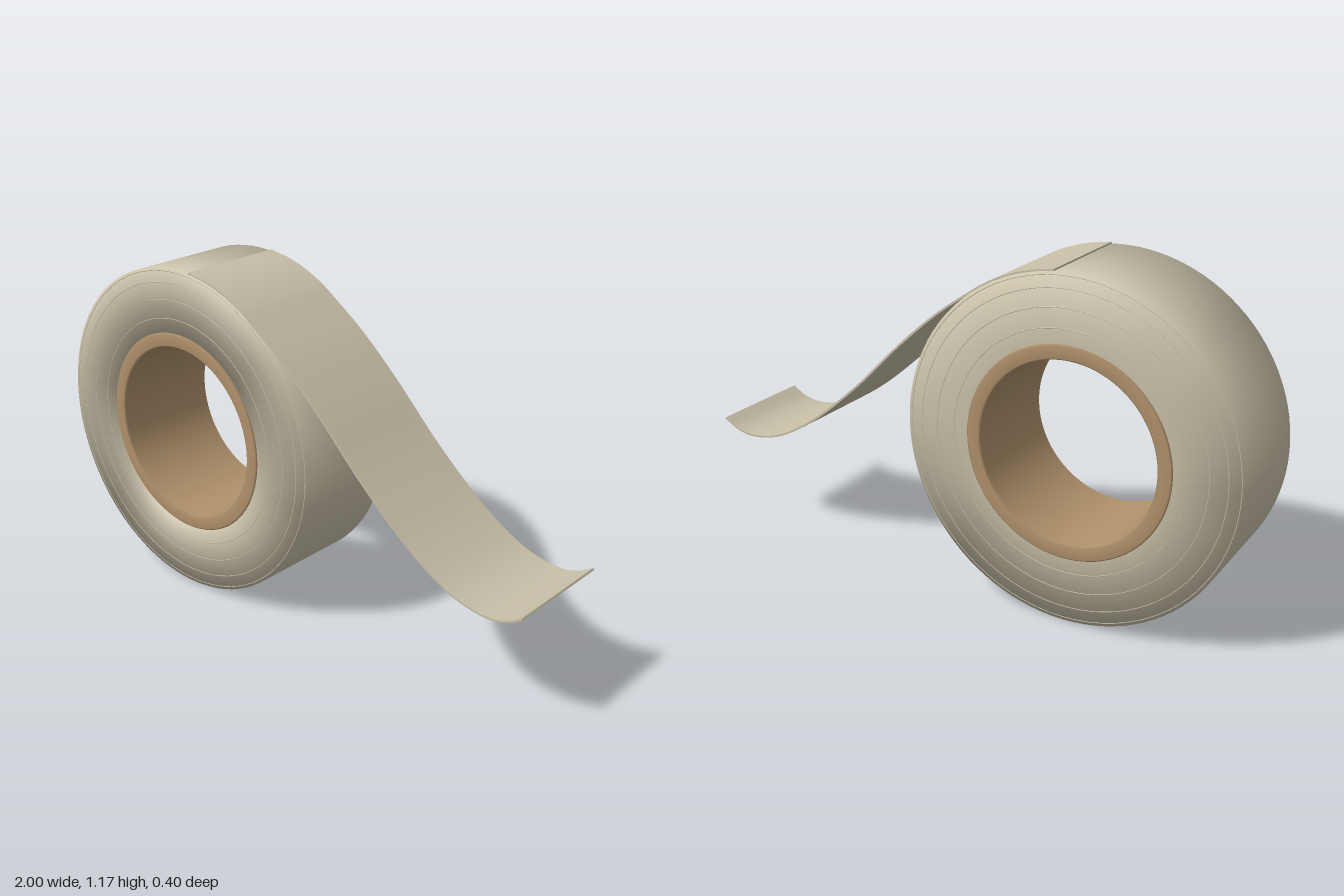
import * as THREE from 'three';

const CX = -0.415, CY = 0.587, R = 0.585, HALF = 0.197;

export function createModel() {
  const group = new THREE.Group();
  const tape = new THREE.MeshStandardMaterial({ color: 0xc8c0a8 });
  tape.name = 'tape beige';
  const cardboard = new THREE.MeshStandardMaterial({ color: 0xb0916b });
  cardboard.name = 'cardboard brown';

  function add(name, geometry, material, x = 0, y = 0, z = 0) {
    const mesh = new THREE.Mesh(geometry, material);
    mesh.name = name;
    mesh.position.set(x, y, z);
    group.add(mesh);
    return mesh;
  }
  // Ring around the z axis from [radius, depth] profile points
  function ring(profile) {
    const points = profile.map(([r, z]) => new THREE.Vector2(r, z));
    return new THREE.LatheGeometry(points, 96).rotateX(Math.PI / 2);
  }

  // Wound tape with softly shaded corners
  add('tapeRoll', ring([
    [0.35, -HALF], [R, -HALF], [R, HALF], [0.35, HALF],
    [0.35, -HALF],
  ]), tape, CX, CY);

  // Cardboard core with small bevels, seam hidden inside the roll
  add('core', ring([
    [0.36, 0], [0.36, 0.197], [0.354, 0.202], [0.316, 0.202], [0.31, 0.196],
    [0.31, -0.196], [0.316, -0.202], [0.354, -0.202], [0.36, -0.197], [0.36, 0],
  ]), cardboard, CX, CY);

  // Fine winding lines on both faces
  for (const side of [-1, 1]) {
    for (const r of [0.41, 0.475, 0.535, 0.575]) {
      add('windingLine', new THREE.TorusGeometry(r, 0.002, 6, 96), tape,
        CX, CY, side * (HALF - 0.001));
    }
  }

  // Loose end: hugs the roll, then peels away and curls up at the tip
  const path = [];
  for (const deg of [84.6, 76, 68, 60, 53]) {
    const a = THREE.MathUtils.degToRad(deg);
    path.push(new THREE.Vector3(CX + (R + 0.002) * Math.cos(a), CY + (R + 0.002) * Math.sin(a), 0));
  }
  for (const [x, y] of [[0.06, 0.968], [0.2, 0.845], [0.4, 0.648], [0.6, 0.484],
    [0.75, 0.4], [0.87, 0.375], [0.94, 0.386], [0.998, 0.418]]) {
    path.push(new THREE.Vector3(x, y, 0));
  }
  const curve = new THREE.CatmullRomCurve3(path);
  const strip = new THREE.BoxGeometry(1, 0.007, HALF * 2, 64, 1, 1);
  const pos = strip.attributes.position;
  for (let i = 0; i < pos.count; i++) {
    const u = THREE.MathUtils.clamp(pos.getX(i) + 0.5, 0, 1);
    const p = curve.getPointAt(u), t = curve.getTangentAt(u), h = pos.getY(i);
    pos.setXY(i, p.x - t.y * h, p.y + t.x * h);
  }
  strip.computeVertexNormals();
  add('looseEnd', strip, tape);

  return group;
}
